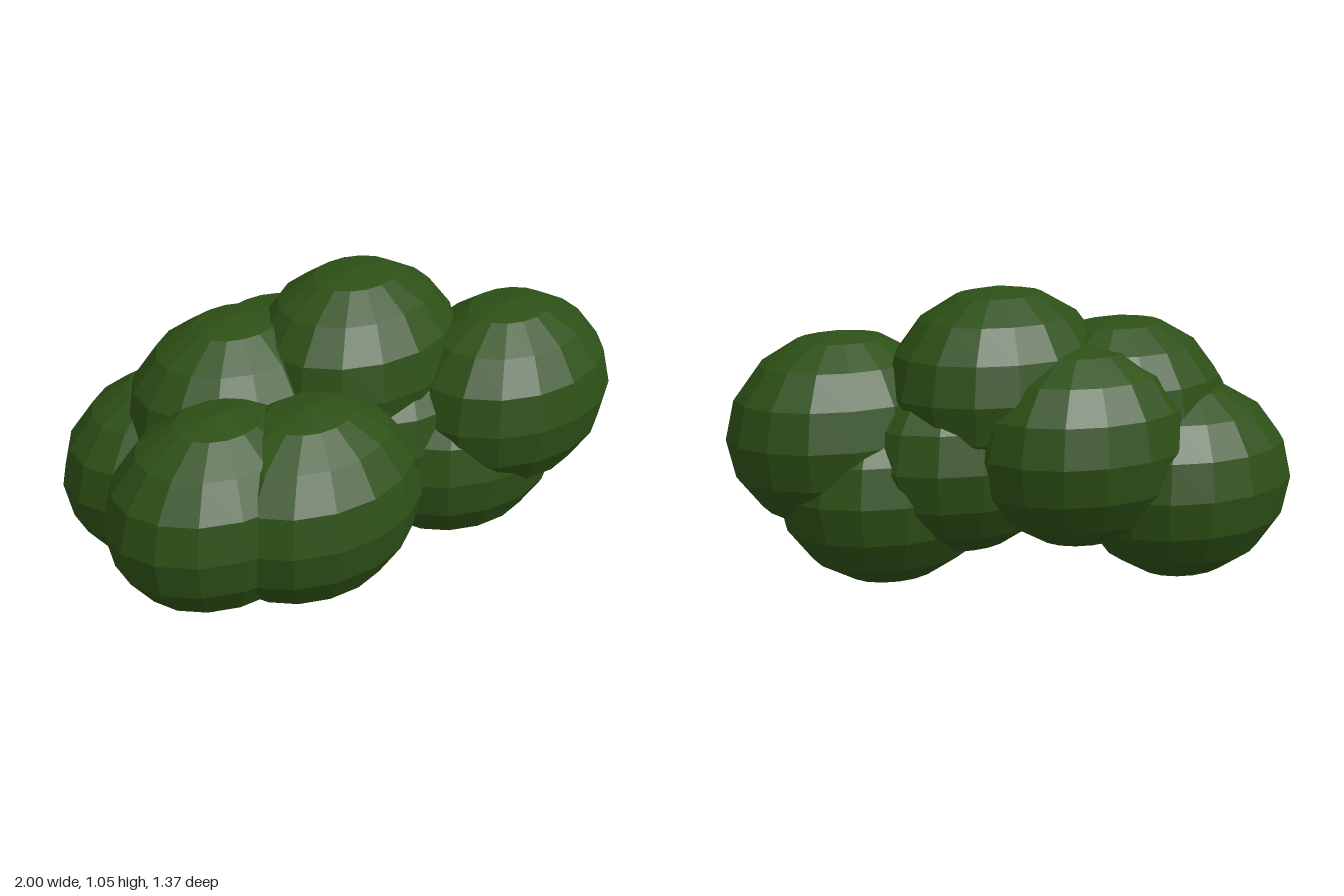
import * as THREE from 'three';

export function createModel() {
  const bush = new THREE.Group();
  bush.name = 'bush';

  const leafGreen = new THREE.MeshStandardMaterial({ color: 0x2d5016 });
  leafGreen.name = 'leafGreen';
  const berryRed = new THREE.MeshStandardMaterial({ color: 0x4a0e14 });
  berryRed.name = 'berryRed';

  // Faceted ball: unshared corners give each face its own flat normal
  const facetedBall = (radius, around, high) => {
    const ball = new THREE.SphereGeometry(radius, around, high).toNonIndexed();
    ball.computeVertexNormals();
    return ball;
  };

  // Place copies of one ball at the listed centres
  const scatter = (name, geometry, material, centres, scale) => {
    const group = new THREE.Group();
    group.name = name + 's';
    centres.forEach((centre, i) => {
      const mesh = new THREE.Mesh(geometry, material);
      mesh.name = name + (i + 1);
      mesh.position.set(...centre);
      mesh.scale.set(...scale);
      group.add(mesh);
    });
    bush.add(group);
  };

  // Overlapping clumps of leaves, wider than they are tall
  scatter('leafClump', facetedBall(1, 16, 8), leafGreen, [
    [0.58, 0.55, 0.345],
    [0.15, 0.70, 0.01],
    [-0.33, 0.45, 0.285],
    [0.45, 0.36, 0.24],
    [0.25, 0.47, 0.08],
    [-0.40, 0.35, -0.35],
    [-0.58, 0.455, 0.12],
    [-0.24, 0.58, -0.18],
    [-0.01, 0.515, -0.25],
  ], [0.42, 0.35, 0.335]);

  // Small berries in the hollow underneath
  scatter('berry', facetedBall(0.025, 8, 6), berryRed, [
    [-0.126, 0.31, 0.025],
    [-0.056, 0.21, 0.083],
    [-0.15, 0.20, 0.0],
    [-0.175, 0.205, -0.01],
    [-0.20, 0.27, 0.0],
  ], [1, 1, 1]);

  return bush;
}
